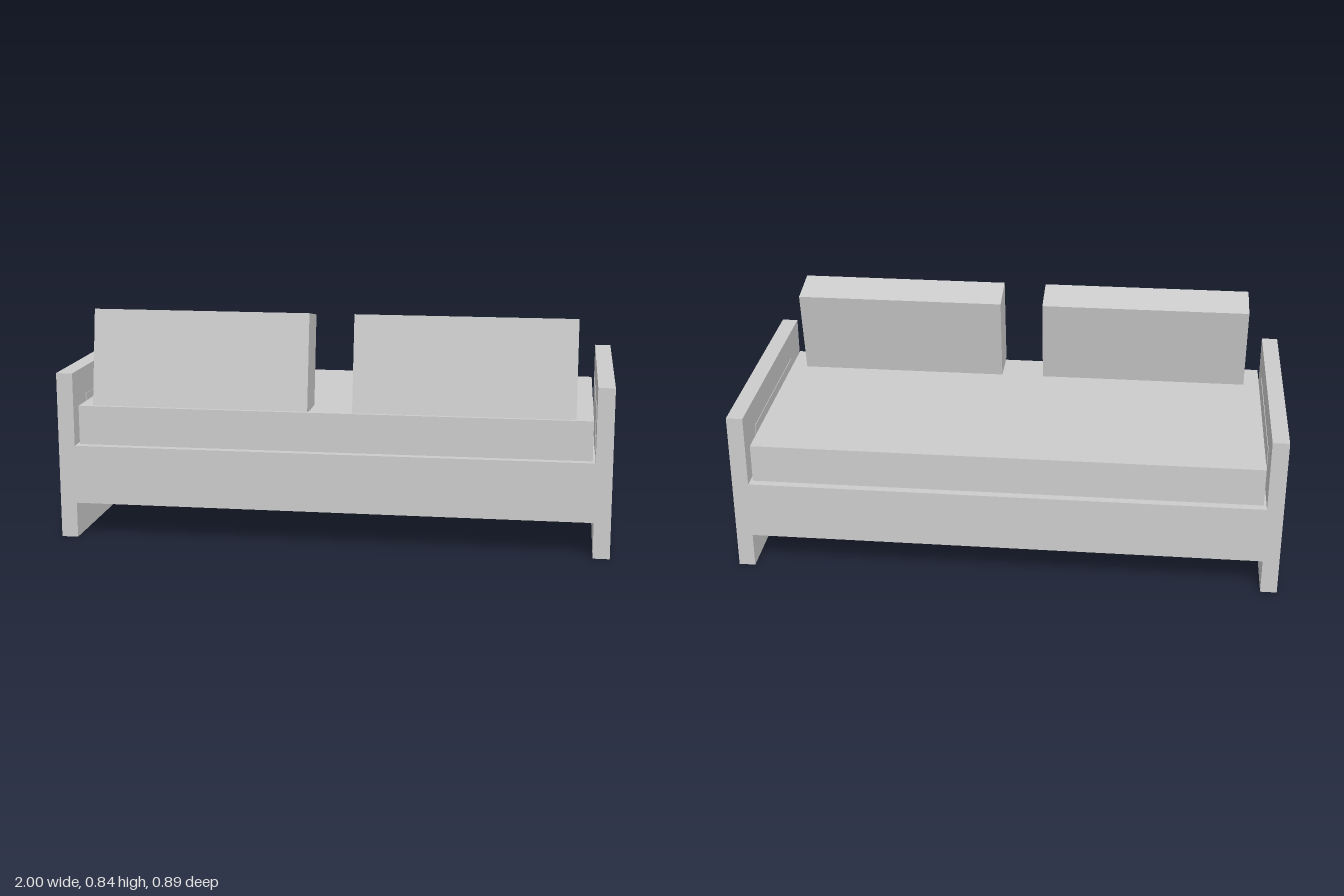
import * as THREE from 'three';

export function createModel() {
  const group = new THREE.Group();
  group.name = 'daybed';
  const grey = new THREE.MeshStandardMaterial({ color: 0xcccccc });
  grey.name = 'plain grey';

  const add = (name, geometry, x, y, z) => {
    const mesh = new THREE.Mesh(geometry, grey);
    mesh.name = name;
    mesh.position.set(x, y, z);
    group.add(mesh);
    return mesh;
  };

  // H-shaped frame: two end panels joined by the seat base
  const outer = 0.998, inner = 0.938, depth = 0.89;
  const half = [[inner, 0.13], [inner, 0], [outer, 0], [outer, 0.613], [inner, 0.613], [inner, 0.345]];
  const mirrored = half.map(([x, y]) => [-x, y]).reverse();
  const profile = new THREE.Shape([...half, ...mirrored].map(([x, y]) => new THREE.Vector2(x, y)));
  add('frame', new THREE.ExtrudeGeometry(profile, { depth, bevelEnabled: false }), 0, 0, -depth / 2);

  // Mattress resting on the base
  add('mattress', new THREE.BoxGeometry(1.856, 0.143, 0.83), 0, 0.4165, 0);

  for (const side of [-1, 1]) {
    const label = side > 0 ? 'left' : 'right';
    // Thin raised field, slightly proud of both faces of the end panel
    add(label + 'PanelInset', new THREE.BoxGeometry(0.064, 0.3, 0.59), side * 0.968, 0.36, 0);
    // Back cushion leaning over the mattress
    const cushion = add(label + 'Cushion', new THREE.BoxGeometry(0.787, 0.35, 0.157), side * 0.474, 0.654, 0.325);
    cushion.rotation.x = -THREE.MathUtils.degToRad(10);
  }
  return group;
}
